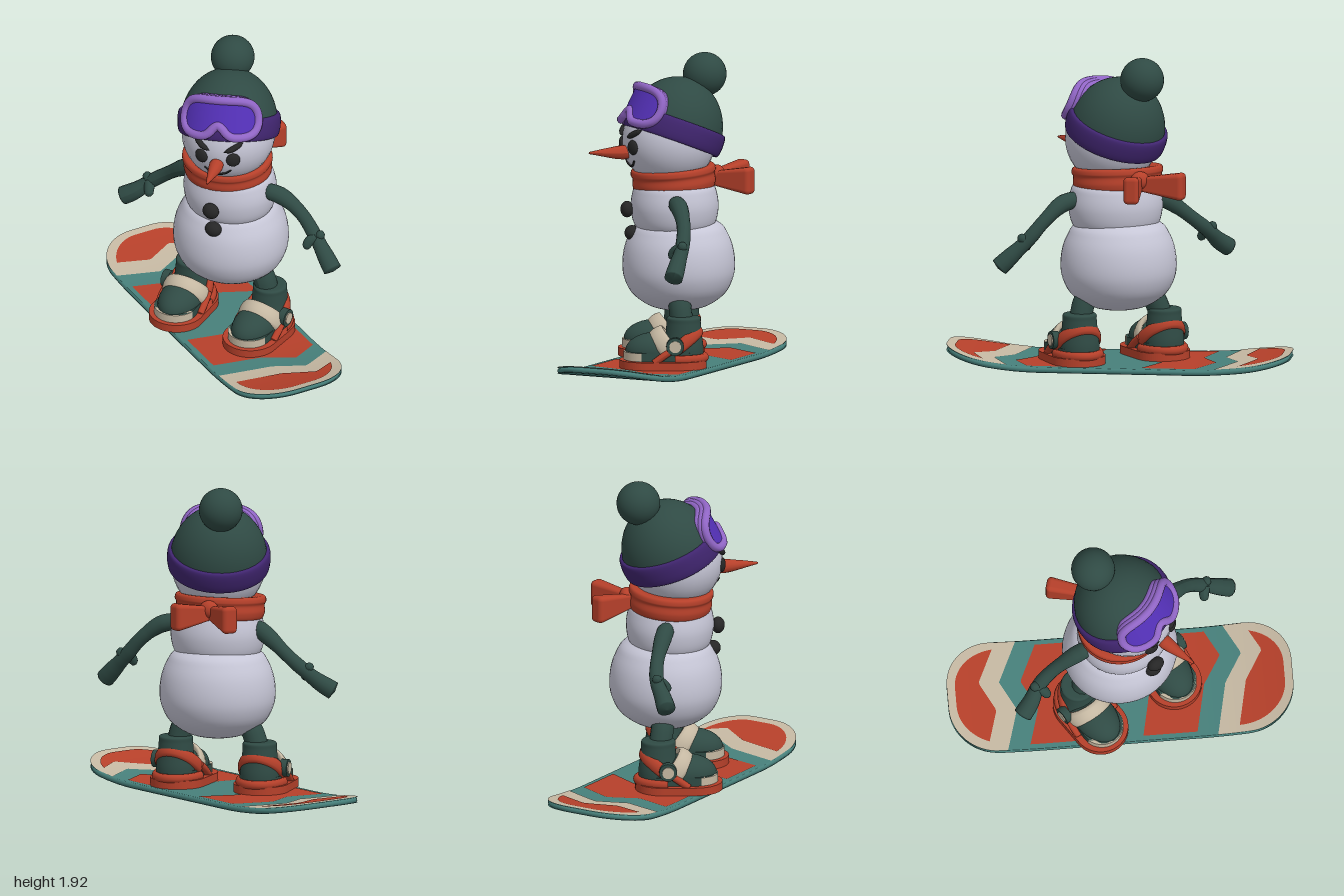
import * as THREE from 'three';
import { RoundedBoxGeometry } from 'three/addons/geometries/RoundedBoxGeometry.js';

const paint = (name, color, side = THREE.FrontSide) => {
  const m = new THREE.MeshStandardMaterial({ color, side });
  m.name = name;
  return m;
};
const V = (x, y, z) => new THREE.Vector3(x, y, z);

export function createModel() {
  const D = THREE.DoubleSide;
  const snow = paint('snow white', 0xc6c6d6), green = paint('dark green', 0x2f4a44, D);
  const red = paint('orange red', 0xb6402a, D), coal = paint('coal', 0x262626);
  const plum = paint('dark purple', 0x40256f, D), lilac = paint('light purple', 0x9166c6);
  const violet = paint('lens violet', 0x5330b6, D), teal = paint('teal', 0x47807b, D);
  const cream = paint('cream', 0xc5b8a2, D);

  const model = new THREE.Group();
  model.name = 'snowboardingSnowman';
  const add = (parent, name, geo, mat, x = 0, y = 0, z = 0) => {
    const m = new THREE.Mesh(geo, mat);
    m.name = name;
    m.position.set(x, y, z);
    parent.add(m);
    return m;
  };
  const group = (name, x, y, z, parent = model) => {
    const g = new THREE.Group();
    g.name = name;
    g.position.set(x, y, z);
    parent.add(g);
    return g;
  };
  const ball = (rx, ry = rx, rz = rx) => new THREE.SphereGeometry(1, 32, 20).scale(rx, ry, rz);
  const lathe = (pts, n = 40) => new THREE.LatheGeometry(
    new THREE.SplineCurve(pts.map(p => new THREE.Vector2(...p))).getPoints(n), 48);

  // Closed tube whose radius follows a list of values along its path
  const limb = (pts, radii, seg = 40) => {
    const curve = new THREE.CatmullRomCurve3(pts.map(p => V(...p)));
    const geo = new THREE.TubeGeometry(curve, seg, 1, 14);
    const pos = geo.attributes.position, v = V(), c = V();
    for (let i = 0; i < pos.count; i++) {
      const ring = Math.floor(i / 15), f = (ring / seg) * (radii.length - 1);
      const k = Math.min(Math.floor(f), radii.length - 2);
      const r = ring % seg ? THREE.MathUtils.lerp(radii[k], radii[k + 1], f - k) : 0.0005;
      curve.getPointAt(ring / seg, c);
      v.fromBufferAttribute(pos, i).sub(c).multiplyScalar(r).add(c);
      pos.setXYZ(i, v.x, v.y, v.z);
    }
    geo.computeVertexNormals();
    return geo;
  };
  // Grid sheet placed by a rule of (u, v), both 0..1
  const sheet = (nu, nv, rule) => {
    const geo = new THREE.PlaneGeometry(1, 1, nu, nv);
    const p = geo.attributes.position;
    for (let i = 0; i < p.count; i++) {
      const q = rule(p.getX(i) + 0.5, p.getY(i) + 0.5);
      p.setXYZ(i, q.x, q.y, q.z);
    }
    geo.computeVertexNormals();
    return geo;
  };

  // Snowboard: s runs along it, t across it
  const board = group('snowboard', 0, 0.02, 0);
  const W = 0.35, L = 1.05, R = 0.28, CA = 0.879, SA = 0.477;
  const end = t => L - R + Math.sqrt(Math.max(0, R * R - Math.max(0, Math.abs(t) - W + R) ** 2));
  const place = (s, t, y) => {
    const k = (Math.max(0, Math.abs(s) - 0.45) / 0.6) ** 2;
    return V(s * CA + t * SA, y + (s > 0 ? 0.09 : 0.063) * k, s * SA - t * CA);
  };
  const deck = (a, b, y, tMax = W, inset = 0) => sheet(48, 40, (u, v) => {
    const t = tMax * Math.sin((u - 0.5) * Math.PI), e = end(t * W / tMax) - inset;
    const s = THREE.MathUtils.clamp(THREE.MathUtils.lerp(a(t), b(t), v), -e, e);
    return place(s, t, y);
  });
  const zigzag = pts => shift => t => {
    let i = 0;
    while (i < pts.length - 2 && t > pts[i + 1][0]) i++;
    const [a, b] = [pts[i], pts[i + 1]];
    return shift + THREE.MathUtils.mapLinear(t, a[0], b[0], a[1], b[1]);
  };
  const tail = zigzag([[-0.35, -0.71], [-0.09, -0.635], [0.09, -0.73], [0.35, -0.61]]);
  const nose = zigzag([[-0.35, 0.57], [-0.02, 0.64], [0.16, 0.75], [0.35, 0.65]]);
  const far = d => () => d;
  add(board, 'deck', deck(far(-2), far(2), 0.017), teal);
  add(board, 'underside', deck(far(2), far(-2), -0.017), teal);
  add(board, 'tailCreamBand', deck(far(-2), tail(0), 0.02), cream);
  add(board, 'noseCreamBand', deck(nose(0), far(2), 0.02), cream);
  add(board, 'tailRedPatch', deck(far(-2), tail(-0.125), 0.024, 0.305, 0.05), red);
  add(board, 'noseRedPatch', deck(nose(0.125), far(2), 0.024, 0.305, 0.05), red);
  add(board, 'tailRedChevron', deck(tail(0.13), tail(0.46), 0.02, 0.32), red);
  add(board, 'noseRedChevron', deck(nose(-0.46), nose(-0.13), 0.02, 0.32), red);
  const rim = [], edge = (s, t) => rim.push(place(s * 0.98, t * 0.97, 0));
  for (const d of [1, -1]) {
    for (let i = 0; i <= 24; i++) {
      const t = d * W * Math.sin((i / 24 - 0.5) * Math.PI);
      edge(d * end(t), t);
    }
    for (let i = 1; i < 20; i++) edge(d * (L - R) * (1 - i / 10), d * W);
  }
  add(board, 'rim', new THREE.TubeGeometry(new THREE.CatmullRomCurve3(rim, true), 220, 0.0175, 10, true), teal);

  // Body
  add(model, 'lowerBody', lathe([[0, 0.355], [0.1, 0.36], [0.2, 0.39], [0.295, 0.46], [0.343, 0.55], [0.355, 0.64],
    [0.342, 0.74], [0.31, 0.82], [0.265, 0.88], [0.15, 0.93], [0, 0.94]]).scale(1, 1, 0.965), snow, 0.025, 0, -0.04);
  add(model, 'upperBody', lathe([[0, 0.8], [0.2, 0.83], [0.265, 0.88], [0.29, 0.98], [0.28, 1.07], [0.25, 1.13],
    [0.15, 1.18], [0, 1.19]]).scale(1, 1, 0.92), snow, 0.035, 0, -0.015);
  add(model, 'upperButton', ball(0.053, 0.05, 0.04), coal, 0.08, 0.978, 0.275);
  add(model, 'lowerButton', ball(0.053, 0.046, 0.045), coal, 0.08, 0.833, 0.245);

  // Scarf with a knot and two flared tails behind
  const scarf = group('scarf', 0.02, 1.16, -0.01);
  scarf.rotation.x = 0.08;
  add(scarf, 'scarfWrap', lathe([[0.2, -0.065], [0.255, -0.072], [0.275, -0.03], [0.272, 0.015], [0.282, 0.04],
    [0.268, 0.07], [0.2, 0.065]]).scale(1, 1, 0.92), red);
  add(model, 'scarfKnot', ball(0.06, 0.055, 0.045), red, -0.02, 1.18, -0.275);
  for (const [x, z] of [[0.125, -0.485], [-0.24, -0.45]]) {
    const dx = x + 0.02, dz = z + 0.24, len = Math.hypot(dx, dz);
    const g = new RoundedBoxGeometry(0.1, 0.175, len, 4, 0.03);
    const p = g.attributes.position;
    for (let i = 0; i < p.count; i++) {
      const k = p.getZ(i) / len + 0.5;
      p.setX(i, p.getX(i) * (0.6 + 0.4 * k));
      p.setY(i, p.getY(i) * (0.45 + 0.55 * k));
    }
    add(model, 'scarfTail', g, red, (x - 0.02) / 2, 1.155, (z - 0.24) / 2).rotation.y = Math.atan2(dx, dz);
  }

  // Head and face
  const head = group('head', 0.045, 1.4, 0.02);
  head.rotation.y = 0.31;
  const onHead = (x, y, out = 0) => [x, y, Math.sqrt(0.0812 - x * x - y * y) + out];
  add(head, 'headBall', ball(0.285), snow);
  for (const s of [-1, 1]) {
    const eye = add(head, 'eye', ball(0.043, 0.045, 0.02), coal, ...onHead(s * 0.1, -0.024));
    eye.rotation.y = s * 0.36;
    add(head, 'brow', limb([[0.045, 0.03], [0.09, 0.05], [0.155, 0.088]].map(([x, y]) => onHead(s * x, y, 0.004)),
      [0, 0.014, 0.018, 0.018, 0.015, 0]), coal);
  }
  add(head, 'mouth', limb([-0.085, -0.045, 0, 0.045, 0.085].map(x => onHead(x, -0.152 + 6 * x * x, 0.002)),
    [0.005, 0.007, 0.007, 0.007, 0.005]), coal);
  add(head, 'carrotNose', limb([[0, -0.065, 0.25], [0, -0.065, 0.35], [0, -0.062, 0.43], [0, -0.06, 0.515]],
    [0.038, 0.044, 0.039, 0.031, 0.023, 0.014, 0.006]), red);

  // Knitted hat, tilted back
  const hat = group('hat', 0.03, 1.45, -0.01);
  hat.rotation.set(-0.375, 0.33, 0.05, 'YXZ');
  add(hat, 'hatDome', new THREE.SphereGeometry(1, 40, 20, 0, Math.PI * 2, 0, Math.PI / 2).scale(0.295, 0.335, 0.295), green);
  add(hat, 'hatBand', lathe([[0.275, -0.06], [0.3, -0.066], [0.312, -0.03], [0.314, 0.03], [0.305, 0.066], [0.28, 0.07]]), plum);
  add(model, 'pompom', ball(0.133), green, -0.065, 1.785, -0.2);

  // Goggles wrapped around the front of the hat
  const goggles = group('goggles', 0, 0, 0, hat);
  const rimY = (u, top) => {
    const h = 0.113 * Math.sqrt(Math.max(0, 1 - Math.abs(u) ** 5));
    return top ? 0.073 + h : 0.073 - h + 0.07 * Math.exp(-((u / 0.2) ** 2));
  };
  const wrap = (u, y, out = 0) => {
    const r = 0.325 - 0.11 * (y + 0.05) + out;
    return V(r * Math.sin(u * 0.82), y, r * Math.cos(u * 0.82));
  };
  add(goggles, 'lens', sheet(48, 10, (a, b) => {
    const u = Math.sin((a - 0.5) * Math.PI);
    return wrap(u, THREE.MathUtils.lerp(rimY(u, false), rimY(u, true), b), 0.005);
  }), violet);
  for (const [name, out] of [['goggleFrame', 0], ['goggleFrameMiddle', -0.025], ['goggleFrameBack', -0.05]]) {
    const loop = Array.from({ length: 64 }, (_, i) => {
      const f = (i / 64) * Math.PI * 2;
      return wrap(Math.cos(f), rimY(Math.cos(f), f < Math.PI), out);
    });
    add(goggles, name, new THREE.TubeGeometry(new THREE.CatmullRomCurve3(loop, true), 160, 0.027, 10, true), lilac);
  }

  // Branch arms with twig stubs
  const armR = [0.035, 0.052, 0.054, 0.05, 0.044, 0.042, 0.042, 0.044, 0.043, 0.046, 0.052, 0.056, 0.057];
  const arms = {
    leftArm: [[[0.27, 1.05, -0.01], [0.4, 1.02, -0.04], [0.52, 0.93, -0.06], [0.62, 0.82, -0.05], [0.71, 0.73, -0.02], [0.795, 0.645, 0.01]],
      [[0.64, 0.82, -0.04], [0.61, 0.79, 0], [0.6, 0.745, 0.02]], [[0.62, 0.8, -0.05], [0.66, 0.83, -0.05], [0.685, 0.845, -0.05]]],
    rightArm: [[[-0.2, 1.06, -0.01], [-0.33, 0.98, -0.04], [-0.46, 0.88, -0.06], [-0.56, 0.8, -0.05], [-0.64, 0.73, -0.01], [-0.725, 0.675, 0.02]],
      [[-0.56, 0.81, -0.04], [-0.54, 0.77, 0], [-0.53, 0.735, 0.02]], [[-0.54, 0.8, -0.05], [-0.59, 0.83, -0.05], [-0.61, 0.84, -0.05]]],
  };
  for (const [name, [path, ...twigs]] of Object.entries(arms)) {
    const arm = group(name, 0, 0, 0);
    add(arm, 'branch', limb(path, armR, 60), green);
    for (const t of twigs) add(arm, 'twig', limb(t, [0.03, 0.033, 0.032, 0.03, 0.027, 0.012], 20), green);
  }

  // Boots in bindings, and the legs above them
  const slab = (w, z0, z1, h) => {
    const s = new THREE.Shape();
    s.absarc(0, z1 - w, w, 0, Math.PI).absarc(0, z0 + w, w, Math.PI, Math.PI * 2);
    return new THREE.ExtrudeGeometry(s, { depth: h, bevelEnabled: false, curveSegments: 20 }).rotateX(Math.PI / 2);
  };
  const toeCap = () => {
    const s = new THREE.Shape();
    s.absarc(0, 0.168, 0.131, 0.2, Math.PI - 0.2);
    return new THREE.ExtrudeGeometry(s, { depth: 0.05, bevelEnabled: false, curveSegments: 20 }).rotateX(Math.PI / 2);
  };
  for (const [side, x, yaw, hip] of [[1, 0.29, 0, 0.23], [-1, -0.258, 0.1, -0.17]]) {
    const foot = group(side > 0 ? 'leftFoot' : 'rightFoot', x, 0, 0);
    foot.rotation.y = yaw;
    add(foot, 'bindingPlate', slab(0.168, -0.205, 0.325, 0.05), red, 0, 0.088, 0);
    add(foot, 'sole', slab(0.128, -0.175, 0.295, 0.055), green, 0, 0.14, 0);
    add(foot, 'toeCap', toeCap(), cream, 0, 0.14, 0);
    add(foot, 'bootToe', ball(0.127, 0.115, 0.195), green, 0, 0.14, 0.095);
    add(foot, 'bootShaft', lathe([[0.118, 0.09], [0.12, 0.16], [0.11, 0.24], [0.104, 0.31], [0.1, 0.345], [0.06, 0.35], [0, 0.35]]),
      green, 0, 0, -0.065);
    const strap = new THREE.TorusGeometry(0.128, 0.02, 10, 28, Math.PI).scale(1, 1.05, 2.7);
    add(foot, 'instepStrap', strap, cream, 0, 0.15, 0.025).rotation.x = 0.65;
    const heel = new THREE.TorusGeometry(0.13, 0.02, 10, 28, Math.PI).scale(1, 1.45, 2).rotateX(-Math.PI / 2);
    add(foot, 'heelStrap', heel, red, 0, 0.15, 0).rotation.x = 0.65;
    const cup = new THREE.TorusGeometry(0.14, 0.02, 10, 28, Math.PI).scale(1, 1.3, 1.4).rotateX(-Math.PI / 2);
    add(foot, 'heelCup', cup, red, 0, 0.1, -0.01);
    for (const s of [-1, 1]) {
      add(foot, 'sideBrace', limb([[s * 0.14, 0.08, 0.12], [s * 0.142, 0.125, 0.06], [s * 0.135, 0.17, -0.01]],
        [0.022, 0.022, 0.022]), red);
    }
    const disc = (r, w) => new THREE.CylinderGeometry(r, r, w, 24).rotateZ(Math.PI / 2);
    add(foot, 'buckle', disc(0.054, 0.045), green, side * 0.145, 0.185, -0.01);
    add(foot, 'buckleCap', disc(0.036, 0.055), cream, side * 0.147, 0.185, -0.01);
    add(model, 'leg', limb([[hip, 0.46, -0.04], [(hip + x) / 2, 0.39, -0.045], [x - 0.01 * side, 0.3, -0.055]], [0.068, 0.07, 0.07]), green);
  }
  return model;
}
